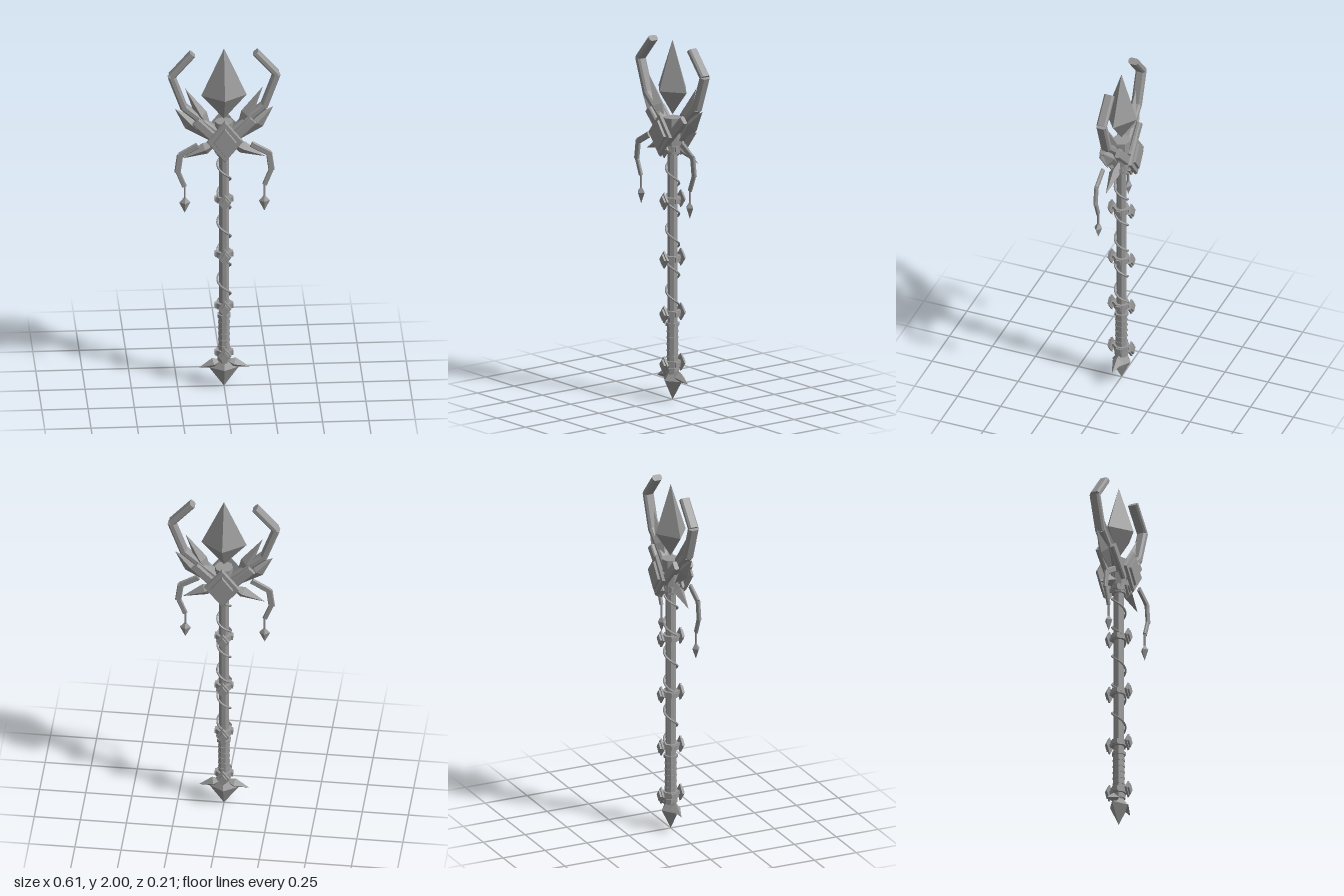
import * as THREE from 'three';

const steel = new THREE.MeshStandardMaterial({ color: 0x999999, flatShading: true });
steel.name = 'grey steel';

export function createModel() {
  const root = new THREE.Group();
  root.name = 'staff';

  const add = (name, geo, parent = root) => {
    const m = new THREE.Mesh(geo, steel);
    m.name = name;
    parent.add(m);
    return m;
  };

  // Turns a shape built along +y so that it runs from a to b in the xy plane
  const align = (geo, a, b, z = 0) => {
    geo.rotateZ(Math.atan2(b[1] - a[1], b[0] - a[0]) - Math.PI / 2);
    return geo.translate(a[0], a[1], z);
  };
  const span = (a, b) => Math.hypot(b[0] - a[0], b[1] - a[1]);

  // Four-sided double pyramid from a to b, widest at the fraction mid
  const spike = (name, a, b, mid, w, d, z = 0, parent = root) => {
    const L = span(a, b);
    const geo = new THREE.LatheGeometry(
      [[0, 0], [1, mid * L], [0, L]].map(p => new THREE.Vector2(...p)), 4);
    geo.scale(w, 1, d);
    return add(name, align(geo, a, b, z), parent);
  };

  // Bar with chamfered long edges from a to b
  const bar = (name, a, b, w, d, z = 0, parent = root) => {
    const x = w / 2, y = d / 2, c = Math.min(w, d) * 0.25;
    const outline = [[x, y - c], [x - c, y], [c - x, y], [-x, y - c],
      [-x, c - y], [c - x, -y], [x - c, -y], [x, c - y]];
    const shape = new THREE.Shape(outline.map(p => new THREE.Vector2(...p)));
    const geo = new THREE.ExtrudeGeometry(shape, { depth: span(a, b), bevelEnabled: false });
    geo.rotateX(-Math.PI / 2);
    return add(name, align(geo, a, b, z), parent);
  };

  // Diamond plate facing +z or -z
  const diamond = (name, y, z, side, w, h, t, parent = root) => {
    const geo = new THREE.CylinderGeometry(0.92, 1, t, 4);
    geo.rotateX(side * Math.PI / 2).scale(w, h, 1).translate(0, y, side * z);
    return add(name, geo, parent);
  };

  const ring = (name, y, r, h, parent = root) =>
    add(name, new THREE.CylinderGeometry(r, r, h, 8).rotateY(Math.PI / 8).translate(0, y, 0), parent);

  // Shaft and grip
  ring('shaft', 0.83, 0.028, 1.38);
  ring('grip', 0.3, 0.031, 0.24);
  for (let i = 0; i < 5; i++) ring('gripRing', 0.24 + i * 0.035, 0.034, 0.009);
  ring('gripCollar', 0.42, 0.038, 0.018);
  ring('pommelCollar', 0.165, 0.037, 0.025);

  // Bands with a diamond stud on the front and back
  for (const y of [0.2, 0.48, 0.785, 1.11, 1.4]) {
    const band = new THREE.Group();
    band.name = 'band';
    root.add(band);
    ring('bandRing', y, 0.044, 0.034, band);
    add('bandBar', new THREE.BoxGeometry(0.1, 0.026, 0.03).translate(0, y, 0), band);
    add('studPin', new THREE.BoxGeometry(0.016, 0.016, 0.12).translate(0, y, 0), band);
    for (const side of [1, -1]) {
      diamond('studBase', y, 0.058, side, 0.038, 0.05, 0.01, band);
      diamond('studFace', y, 0.068, side, 0.024, 0.033, 0.01, band);
    }
  }

  // Wire wound round the shaft
  const points = [];
  for (let y = 1.37; y > 0.48; y -= 0.17 / 12) {
    const a = (1.27 - y) / 0.17 * Math.PI * 2;
    points.push(new THREE.Vector3(Math.sin(a) * 0.036, y, Math.cos(a) * 0.036));
  }
  add('wire', new THREE.TubeGeometry(new THREE.CatmullRomCurve3(points), 200, 0.006, 6));

  // Pommel
  spike('pommelPoint', [0, 0.19], [0, 0], 0.42, 0.08, 0.053);

  // Head core, crystal and emblems
  add('headCore', new THREE.CylinderGeometry(0.05, 0.04, 0.2, 8).translate(0, 1.47, 0));
  spike('crystal', [0, 1.585], [0, 2], 0.337, 0.123, 0.09);
  add('emblemPin', new THREE.BoxGeometry(0.024, 0.024, 0.16).translate(0, 1.485, 0));
  for (const side of [1, -1]) {
    diamond('emblemBase', 1.485, 0.086, side, 0.1, 0.125, 0.014);
    diamond('emblemFace', 1.485, 0.099, side, 0.063, 0.085, 0.012);
  }

  // Mirrored parts
  for (const s of [1, -1]) {
    const p = (x, y) => [s * x, y];
    const name = s > 0 ? 'left' : 'right';
    const half = new THREE.Group();
    half.name = name + 'Side';
    root.add(half);

    spike('pommelBarb', p(0.0, 0.155), p(0.137, 0.11), 0.4, 0.03, 0.03, 0, half);

    // Upper claw
    bar('clawRoot', p(0.03, 1.5), p(0.215, 1.66), 0.04, 0.055, 0, half);
    bar('clawMiddle', p(0.215, 1.655), p(0.285, 1.847), 0.04, 0.055, 0, half);
    bar('clawTip', p(0.284, 1.845), p(0.17, 1.975), 0.036, 0.055, 0, half);

    // Brackets on both faces of the claw
    for (const z of [0.043, -0.043])
      bar('clawBracket', p(0.02, 1.455), p(0.155, 1.59), 0.05, 0.026, z, half);

    // Blades
    spike('upperBlade', p(0.06, 1.5), p(0.21, 1.77), 0.42, 0.034, 0.034, 0, half);
    spike('middleBlade', p(0.05, 1.44), p(0.265, 1.65), 0.6, 0.045, 0.03, 0, half);
    spike('lowerBlade', p(0.02, 1.45), p(0.225, 1.355), 0.4, 0.035, 0.03, 0, half);

    // Lower arm with hanging gem
    bar('armRoot', p(0.145, 1.452), p(0.242, 1.395), 0.033, 0.016, 0.048, half);
    bar('armMiddle', p(0.24, 1.4), p(0.254, 1.295), 0.034, 0.016, 0.048, half);
    bar('armEnd', p(0.252, 1.3), p(0.216, 1.21), 0.026, 0.016, 0.048, half);
    bar('gemCord', p(0.215, 1.215), p(0.215, 1.13), 0.01, 0.01, 0.048, half);
    spike('hangingGem', p(0.215, 1.15), p(0.215, 1.055), 0.36, 0.03, 0.022, 0.048, half);
  }
  return root;
}
